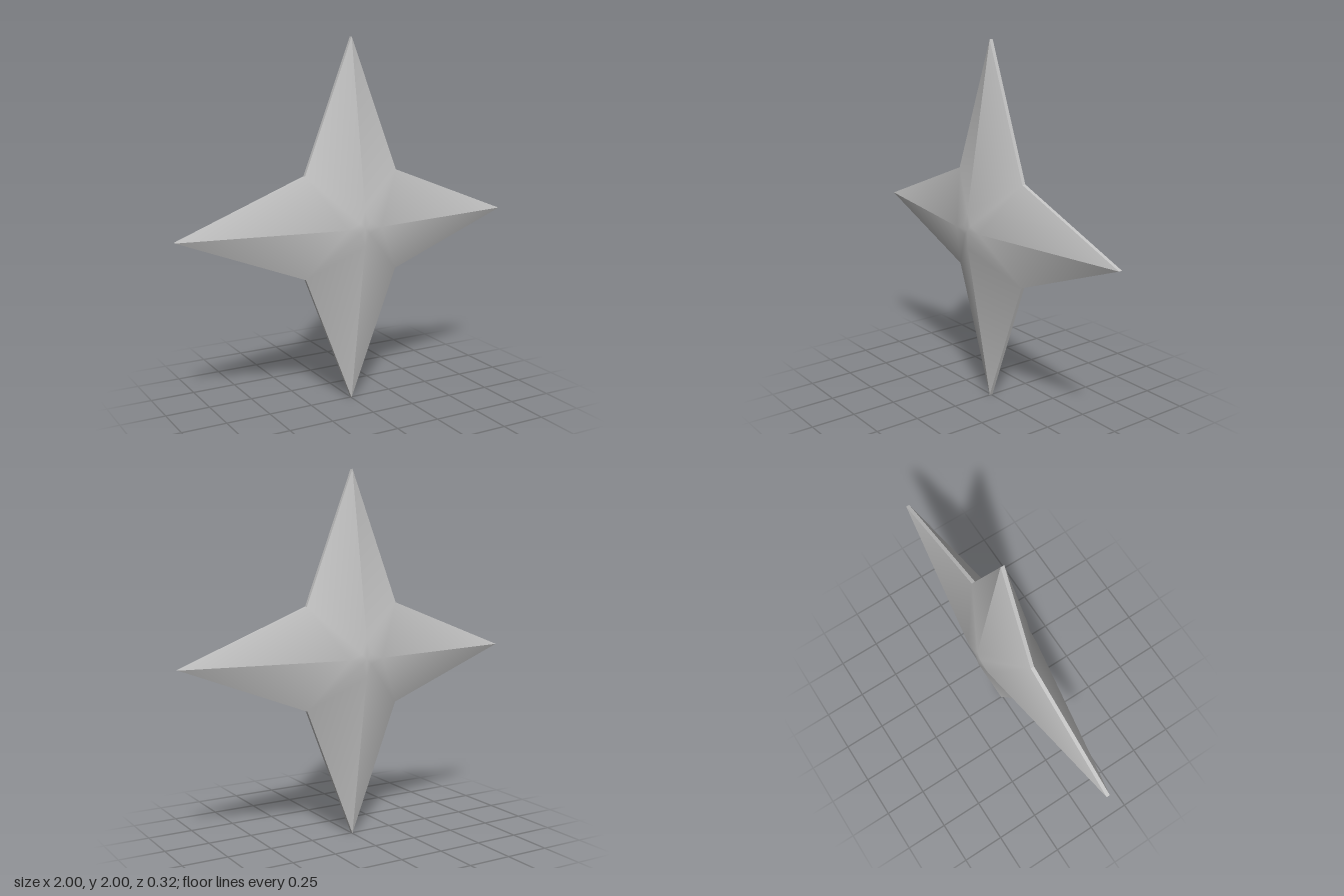
import * as THREE from 'three';

const rad = THREE.MathUtils.degToRad;
const NOTCH = 0.28 * Math.SQRT2;
const FACE = 68.75; // heading of a blade edge's outward normal, in degrees

// Half an arm. Corner: [radius, heading, z, normal heading, normal tilt from z]
const centre = [0, 0, 0.158, 0, 0];
const ridgeTop = [0.1, 0, 0.158, 0, 8.5];
const valleyTop = [NOTCH * 0.1, 45, 0.158, 45, 9];
const tip = [1, 0, 0.01, FACE, 24.5];
const notch = [NOTCH, 45, 0.01, 45, 22.9];
const rim = (corner, z) => [corner[0], corner[1], z, FACE, 90];

const HALF_ARM = [
  [centre, ridgeTop, valleyTop], // centre plateau
  [ridgeTop, tip, notch], [ridgeTop, notch, valleyTop], // sloping blade
  [rim(tip, 0.01), rim(tip, 0), rim(notch, 0)], // thin rim
  [rim(tip, 0.01), rim(notch, 0), rim(notch, 0.01)],
];

function buildStar() {
  const positions = [];
  const normals = [];
  // Four arms, each mirrored across its ridge and from front to back
  for (let arm = 0; arm < 4; arm++) {
    for (const half of [1, -1]) {
      for (const side of [1, -1]) {
        for (const [a, b, c] of HALF_ARM) {
          const corners = half * side > 0 ? [a, b, c] : [a, c, b];
          for (const [r, heading, z, normalHeading, tilt] of corners) {
            const p = rad(arm * 90 + half * heading);
            const n = rad(arm * 90 + half * normalHeading);
            const t = rad(tilt);
            positions.push(r * Math.cos(p), r * Math.sin(p), side * z);
            normals.push(Math.sin(t) * Math.cos(n), Math.sin(t) * Math.sin(n), side * Math.cos(t));
          }
        }
      }
    }
  }
  const geometry = new THREE.BufferGeometry();
  geometry.setAttribute('position', new THREE.Float32BufferAttribute(positions, 3));
  geometry.setAttribute('normal', new THREE.Float32BufferAttribute(normals, 3));
  return geometry;
}

export function createModel() {
  const steel = new THREE.MeshStandardMaterial({ color: 0xc2c2c2 });
  steel.name = 'light steel grey';

  const star = new THREE.Mesh(buildStar(), steel);
  star.name = 'fourPointStar';
  star.position.y = 1;

  const group = new THREE.Group();
  group.name = 'throwingStar';
  group.add(star);
  return group;
}
